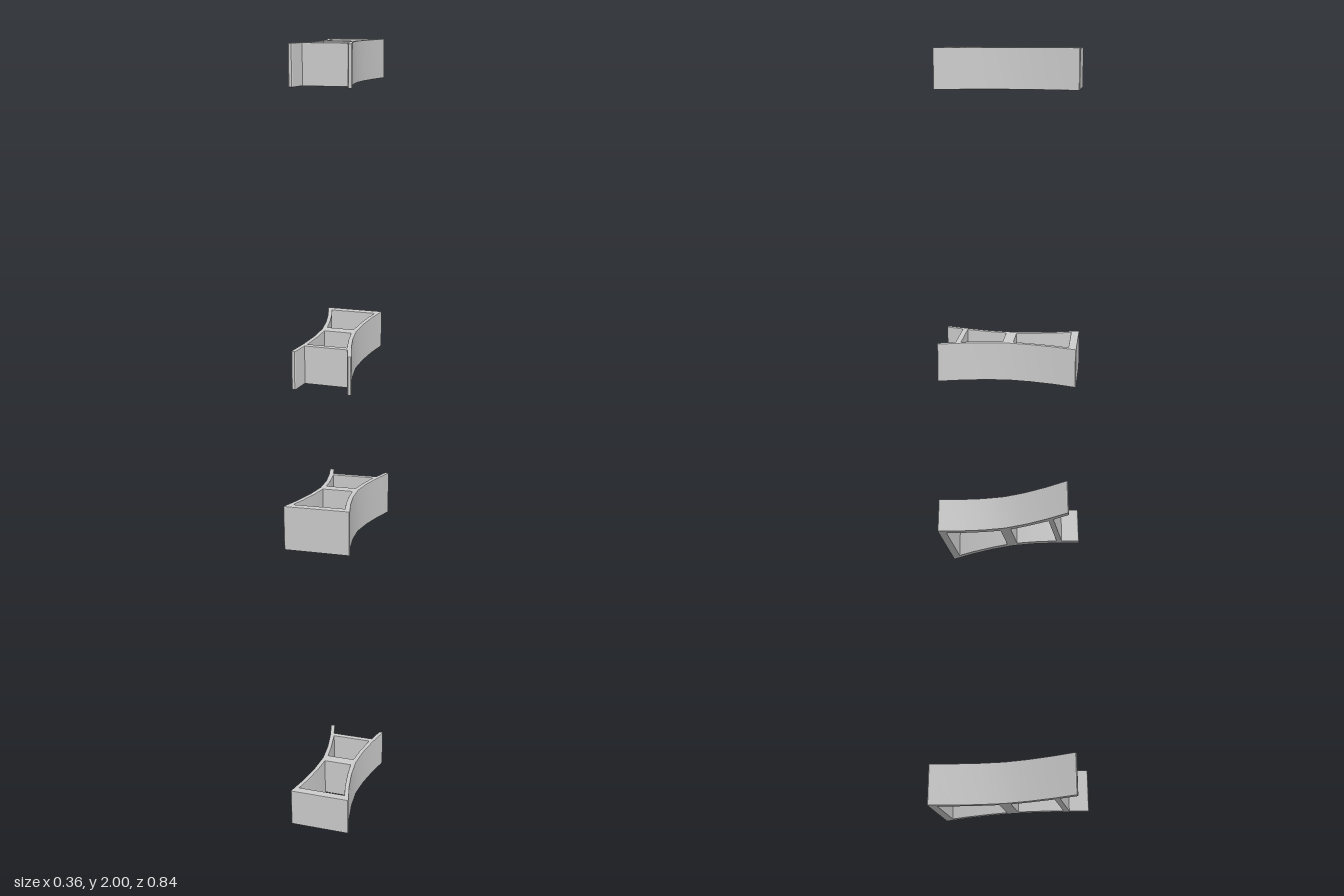
import * as THREE from 'three';
import { toCreasedNormals } from 'three/addons/utils/BufferGeometryUtils.js';

const HEIGHT = 0.238;
const BEVEL = 0.004;

// Half profiles are [x, z] points; mirroring closes them into a loop
function mirrored(half) {
  const other = half.map(([x, z]) => [-x, z]).reverse();
  return [...half, ...other].map(([x, z]) => new THREE.Vector2(x, -z));
}

function frameGeometry() {
  // Waisted outline with two open prongs at the front
  const shape = new THREE.Shape(mirrored([
    [0.177, -0.421], [0.181, -0.416], [0.146, -0.28], [0.121, -0.14], [0.109, 0],
    [0.121, 0.14], [0.147, 0.28], [0.18, 0.409], [0.18, 0.415], [0.175, 0.419],
    [0.16, 0.419], [0.154, 0.413], [0.129, 0.315],
  ]));
  // Back opening and front opening, wound against the outline so their walls face inward
  const openings = [
    [[0.142, -0.372], [0.119, -0.28], [0.095, -0.14], [0.084, -0.035]],
    [[0.084, 0.032], [0.095, 0.14], [0.119, 0.281]],
  ];
  for (const half of openings) shape.holes.push(new THREE.Path(mirrored(half).reverse()));

  const geometry = new THREE.ExtrudeGeometry(shape, {
    depth: HEIGHT - 2 * BEVEL,
    bevelEnabled: true,
    bevelThickness: BEVEL,
    bevelSize: BEVEL,
    bevelOffset: -BEVEL,
    bevelSegments: 2,
  });
  geometry.translate(0, 0, BEVEL);
  geometry.rotateX(-Math.PI / 2);
  return toCreasedNormals(geometry, 0.25);
}

export function createModel() {
  const group = new THREE.Group();
  group.name = 'framePair';
  const material = new THREE.MeshStandardMaterial({ color: 0xcccccc });
  const geometry = frameGeometry();

  // Two identical frames, one at the bottom and one at the top
  for (const [name, y] of [['lowerFrame', 0], ['upperFrame', 2 - HEIGHT]]) {
    const frame = new THREE.Mesh(geometry, material);
    frame.name = name;
    frame.position.y = y;
    group.add(frame);
  }
  return group;
}
